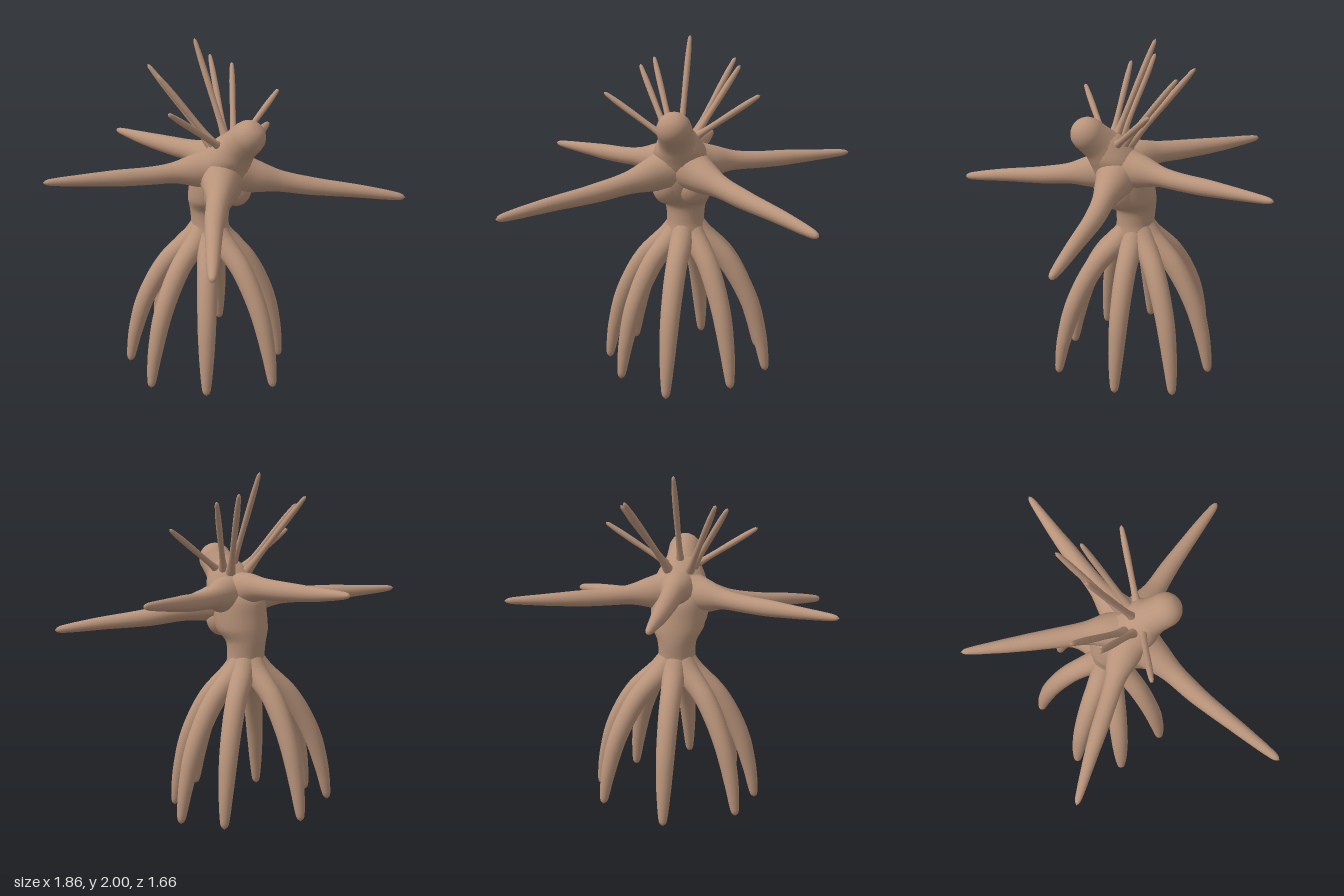
import * as THREE from 'three';
import { mergeVertices } from 'three/addons/utils/BufferGeometryUtils.js';

const skin = new THREE.MeshStandardMaterial({ color: 0xb8937a, roughness: 0.8 });
const V = (p) => new THREE.Vector3(...p);

// Smoothly interpolate a short list of numbers at u in 0..1
function sample(list, u) {
  const curve = new THREE.CatmullRomCurve3(list.map((r) => new THREE.Vector3(r, 0, 0)), false, 'catmullrom', 0.4);
  return curve.getPoint(u).x;
}

function smooth(geometry) {
  geometry.deleteAttribute('uv');
  geometry.deleteAttribute('normal');
  const merged = mergeVertices(geometry, 1e-5);
  merged.computeVertexNormals();
  return merged;
}

// Tapered tube with a rounded end; cap is the share of its length that is rounded
function limbGeometry(points, radii, cap = 0.05, segs = 64, sides = 20) {
  const curve = new THREE.CatmullRomCurve3(points.map(V));
  const g = new THREE.TubeGeometry(curve, segs, 1, sides, false);
  const pos = g.attributes.position;
  const v = new THREE.Vector3();
  for (let i = 0; i <= segs; i++) {
    const u = i / segs;
    const c = curve.getPointAt(u);
    const e = Math.max(0, (u - 1 + cap) / cap);
    const r = sample(radii, u) * Math.sqrt(Math.max(0, 1 - e * e));
    for (let j = 0; j <= sides; j++) {
      const k = i * (sides + 1) + j;
      v.fromBufferAttribute(pos, k).sub(c).multiplyScalar(r).add(c);
      pos.setXYZ(k, v.x, v.y, v.z);
    }
  }
  return smooth(g);
}

// Body lofted through ellipses given as [y, centre z, half width, half depth]
function loftGeometry(rows, steps = 60, sides = 40) {
  const g = new THREE.CylinderGeometry(1, 1, 1, sides, steps, true);
  const pos = g.attributes.position;
  for (let k = 0; k < pos.count; k++) {
    const u = pos.getY(k) + 0.5;
    const [y, z, rx, rz] = [0, 1, 2, 3].map((c) => sample(rows.map((r) => r[c]), u));
    pos.setXYZ(k, pos.getX(k) * Math.max(rx, 0), y, z + pos.getZ(k) * Math.max(rz, 0));
  }
  return smooth(g);
}

export function createModel() {
  const model = new THREE.Group();
  const add = (name, geometry) => {
    const mesh = new THREE.Mesh(geometry, skin);
    mesh.name = name;
    model.add(mesh);
    return mesh;
  };
  const mirror = (points, s) => points.map(([x, y, z]) => [x * s, y, z]);

  // Torso, leaning forward towards the shoulders
  add('torso', loftGeometry([
    [0.75, 0.02, 0, 0],
    [0.79, 0.02, 0.08, 0.08],
    [0.85, 0.015, 0.12, 0.115],
    [0.93, 0.01, 0.11, 0.113],
    [1.02, 0.01, 0.118, 0.122],
    [1.09, 0.045, 0.155, 0.155],
    [1.17, 0.07, 0.165, 0.168],
    [1.26, 0.09, 0.165, 0.168],
    [1.35, 0.14, 0.155, 0.15],
    [1.42, 0.17, 0.125, 0.125],
    [1.48, 0.2, 0.085, 0.09],
    [1.52, 0.22, 0, 0],
  ]));

  // Head
  add('head', limbGeometry(
    [[0, 1.32, 0.14], [0, 1.42, 0.22], [0, 1.5, 0.305], [0, 1.567, 0.372]],
    [0.14, 0.12, 0.103, 0.098, 0.098], 0.29));

  for (const s of [-1, 1]) {
    const side = s > 0 ? 'left' : 'right';

    // Chest swellings beneath the front arms
    const chest = add(side + 'Chest', new THREE.SphereGeometry(0.09, 28, 20));
    chest.position.set(s * 0.075, 1.15, 0.15);
    chest.scale.set(1, 1.15, 1);

    // Front and side arms, flared at the shoulder
    add(side + 'FrontArm', limbGeometry(
      mirror([[0.04, 1.26, 0.13], [0.2, 1.21, 0.27], [0.4, 1.155, 0.43], [0.62, 1.115, 0.63], [0.83, 1.07, 0.825]], s),
      [0.14, 0.095, 0.063, 0.055, 0.047, 0.04, 0.032, 0.02]));
    add(side + 'SideArm', limbGeometry(
      mirror([[0.03, 1.29, 0.12], [0.2, 1.29, 0.025], [0.4, 1.285, -0.075], [0.65, 1.295, -0.2], [0.93, 1.31, -0.33]], s),
      [0.14, 0.095, 0.058, 0.05, 0.047, 0.038, 0.028, 0.016]));
  }

  // Back arm
  add('backArm', limbGeometry(
    [[0, 1.3, 0.14], [0, 1.335, -0.05], [0, 1.335, -0.3], [0, 1.335, -0.55], [0, 1.345, -0.83]],
    [0.13, 0.1, 0.066, 0.058, 0.051, 0.042, 0.03, 0.016]));

  // Eight arching legs: foot x, foot y, foot z
  const feet = [
    [0, 0.01, 0.53], [0.33, 0, 0.3], [0.495, 0, 0], [0.405, 0.03, -0.29],
    [0, 0.035, -0.48], [-0.405, 0.03, -0.29], [-0.495, 0, 0], [-0.33, 0, 0.3],
  ];
  const arch = [[0.06, 0.92], [0.2, 0.83], [0.5, 0.69], [0.77, 0.46], [0.92, 0.22], [1, 0]];
  feet.forEach(([x, y, z], i) => add('leg' + (i + 1), limbGeometry(
    arch.map(([f, h]) => [x * f, y + h * (0.92 - y) / 0.92, z * f]),
    [0.07, 0.068, 0.062, 0.06, 0.057, 0.053, 0.046, 0.036, 0.022], 0.04)));

  // Crown of slender spines behind the head: root, tip
  const spine = (name, root, tip) => {
    const mid = root.map((r, i) => (r + tip[i]) / 2);
    add(name, limbGeometry([root, mid, tip], [0.032, 0.019, 0.017, 0.018, 0.017, 0.011], 0.05, 40, 12));
  };
  spine('topSpine', [0, 1.42, 0.15], [0, 2, -0.115]);
  for (const s of [-1, 1]) {
    [
      [[0.06, 1.42, 0.08], [0.25, 1.87, -0.235]],
      [[0.07, 1.42, 0.13], [0.3, 1.83, -0.1]],
      [[0.06, 1.42, 0.17], [0.45, 1.68, 0.14]],
    ].forEach((ends, i) => spine((s > 0 ? 'left' : 'right') + 'Spine' + (i + 1), ...ends.map((p) => mirror([p], s)[0])));
  }

  return model;
}
